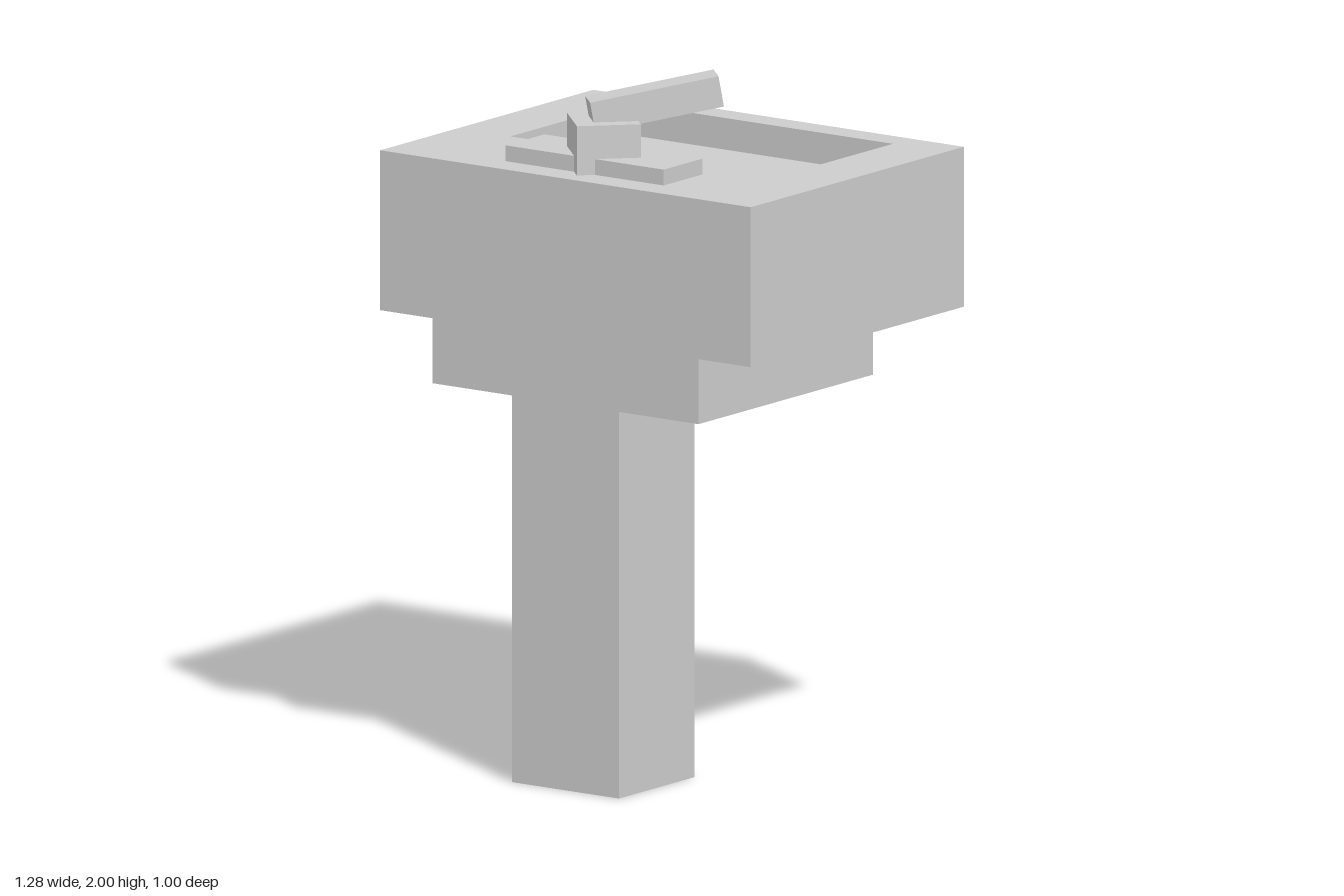
import * as THREE from 'three';

export function createModel() {
  const group = new THREE.Group();
  group.name = 'pedestalSink';
  const ceramic = new THREE.MeshStandardMaterial({ color: 0xcccccc });
  ceramic.name = 'light grey';

  const add = (name, geometry) => {
    const mesh = new THREE.Mesh(geometry, ceramic);
    mesh.name = name;
    group.add(mesh);
    return mesh;
  };
  // Box given by its limits along each axis
  const box = (name, [x0, x1], [y0, y1], [z0, z1]) => {
    const mesh = add(name, new THREE.BoxGeometry(x1 - x0, y1 - y0, z1 - z0));
    mesh.position.set((x0 + x1) / 2, (y0 + y1) / 2, (z0 + z1) / 2);
    return mesh;
  };

  // Pedestal column with a drain pipe set cornerwise into its back
  box('column', [-0.185, 0.185], [0, 1.1], [0.145, 0.5]);
  const pipe = box('drainPipe', [-0.1, 0.1], [0, 1.1], [0.112, 0.312]);
  pipe.rotation.y = Math.PI / 4;

  // Stepped underside and basin body, flush at the front
  box('basinStep', [-0.46, 0.46], [1.1, 1.285], [-0.318, 0.5]);
  box('basinBody', [-0.64, 0.64], [1.285, 1.65], [-0.5, 0.5]);

  // Rim around the rectangular bowl recess
  const rectangle = (path, x, y0, y1) =>
    path.moveTo(-x, y0).lineTo(x, y0).lineTo(x, y1).lineTo(-x, y1).closePath();
  const rim = new THREE.Shape();
  rectangle(rim, 0.64, -0.5, 0.5);
  const bowl = new THREE.Path();
  rectangle(bowl, 0.458, -0.137, 0.415);
  rim.holes.push(bowl);
  const rimGeometry = new THREE.ExtrudeGeometry(rim, { depth: 0.09, bevelEnabled: false });
  rimGeometry.rotateX(-Math.PI / 2);
  add('basinRim', rimGeometry).position.y = 1.65;

  // Tap: base plate, cornerwise block and tilted spout
  box('tapPlate', [-0.273, 0.273], [1.74, 1.785], [0.228, 0.41]);
  const block = box('tapBlock', [-0.09, 0.09], [1.74, 1.88], [0.229, 0.409]);
  block.rotation.y = Math.PI / 4;
  const spout = add('spout', new THREE.BoxGeometry(0.367, 0.088, 0.092));
  spout.rotation.set(0, Math.PI / 4, THREE.MathUtils.degToRad(10), 'YXZ');
  spout.position.set(0.101, 1.925, 0.219);

  return group;
}
